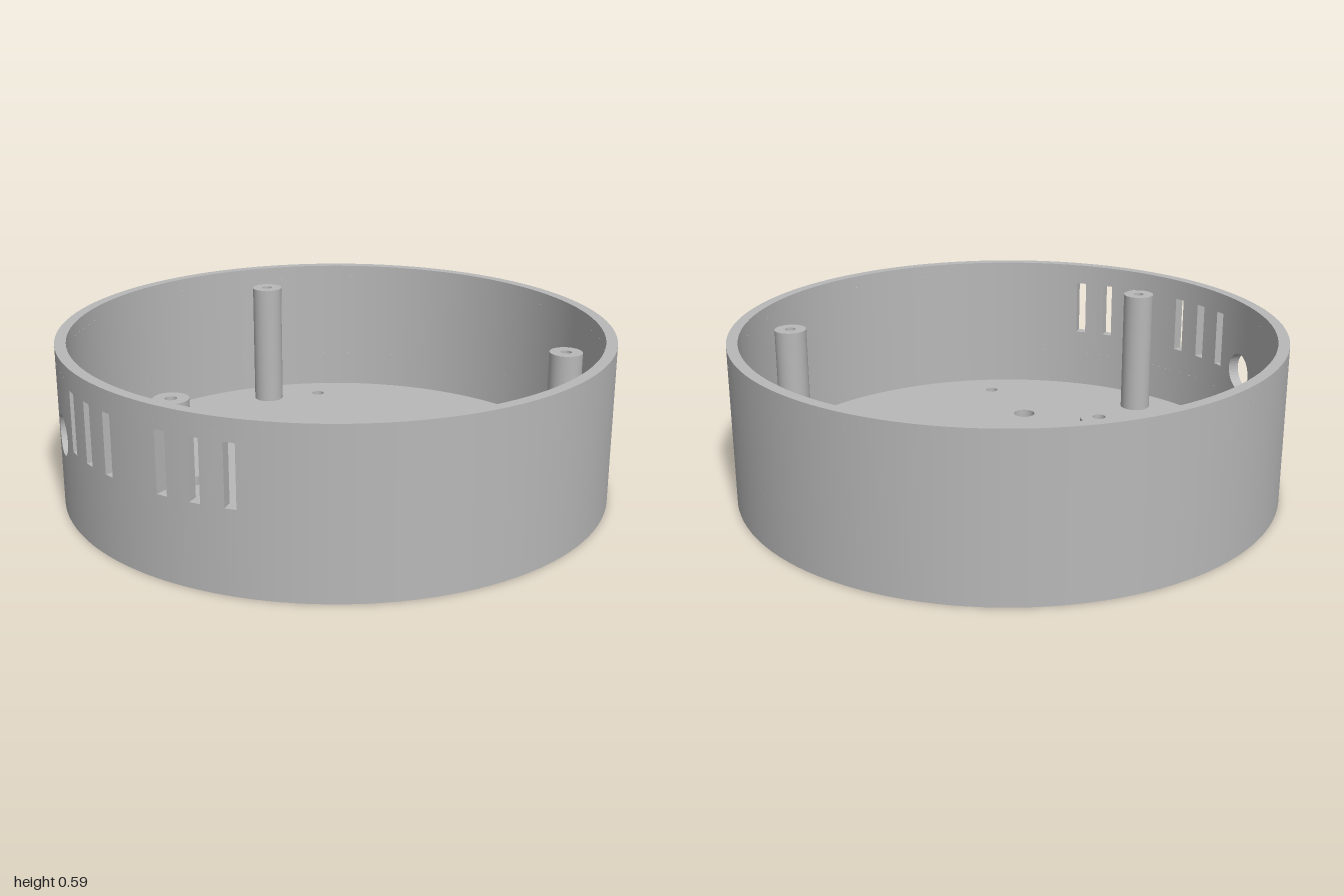
import * as THREE from 'three';

const R = 1, RI = 0.96, H = 0.588, FLOOR = 0.058;
const BAND0 = 0.2, BAND1 = 0.54; // perforated height range of the wall
const rad = THREE.MathUtils.degToRad;

export function createModel() {
  const model = new THREE.Group();
  const grey = new THREE.MeshStandardMaterial({ color: 0xb8b8b8 });
  grey.name = 'grey plastic';

  const add = (parent, name, geometry) => {
    const mesh = new THREE.Mesh(geometry, grey);
    mesh.name = name;
    parent.add(mesh);
    return mesh;
  };
  // One revolved face between two profile points, so profile corners stay sharp
  const ring = (r0, y0, r1, y1, segs = 120, start = 0, len = Math.PI * 2) =>
    new THREE.LatheGeometry([new THREE.Vector2(r0, y0), new THREE.Vector2(r1, y1)], segs, start, len);

  // Floor plate with mounting holes and cable holes
  const disc = new THREE.Shape().absarc(0, 0, 0.98, 0, Math.PI * 2);
  const drill = (x, z, r) => disc.holes.push(new THREE.Path().absarc(x, -z, r, 0, Math.PI * 2, true));
  for (const x of [-0.585, 0.585]) for (const z of [-0.585, 0.585]) drill(x, z, 0.0245);
  drill(-0.562, 0, 0.042);
  for (const x of [-0.294, 0.294]) drill(x, 0.452, 0.042);
  const plate = new THREE.ExtrudeGeometry(disc, { depth: FLOOR, bevelEnabled: false, curveSegments: 60 });
  add(model, 'floor', plate.rotateX(-Math.PI / 2));

  // Plain wall surfaces
  const wall = new THREE.Group();
  wall.name = 'wall';
  model.add(wall);
  add(wall, 'bottomEdge', ring(0.98, 0, R, 0));
  add(wall, 'topRim', ring(R, H, RI, H));
  add(wall, 'outerLowerBand', ring(R, 0, R, BAND0));
  add(wall, 'outerUpperBand', ring(R, BAND1, R, H));
  add(wall, 'innerLowerBand', ring(RI, BAND0, RI, FLOOR));
  add(wall, 'innerUpperBand', ring(RI, H, RI, BAND1));
  const plainArc = (from, to) => {
    const segs = Math.ceil((to - from) / 3);
    add(wall, 'outerPlainWall', ring(R, BAND0, R, BAND1, segs, rad(from), rad(to - from)));
    add(wall, 'innerPlainWall', ring(RI, BAND1, RI, BAND0, segs, rad(from), rad(to - from)));
  };
  plainArc(24.5, 324.5);
  plainArc(-3.5, 3.5);

  // Curved wall panel from angle a0 to a1 with one radial opening
  const bend = (p, r) => new THREE.Vector3(r * Math.sin(p.x), p.y, r * Math.cos(p.x));
  const panel = (name, a0, a1, centre, opening) => {
    const cut = r => opening.map(([s, y]) => new THREE.Vector2(rad(centre) + Math.asin(s / r), y));
    for (const r of [R, RI]) {
      const edge = [];
      for (let i = 0; i <= 6; i++) edge.push(new THREE.Vector2(rad(a0 + (a1 - a0) * i / 6), BAND0));
      for (let i = 6; i >= 0; i--) edge.push(new THREE.Vector2(rad(a0 + (a1 - a0) * i / 6), BAND1));
      const shape = new THREE.Shape(edge);
      shape.holes.push(new THREE.Path(cut(r)));
      const g = new THREE.ShapeGeometry(shape);
      const pos = g.attributes.position, nor = g.attributes.normal, sign = r === R ? 1 : -1;
      for (let i = 0; i < pos.count; i++) {
        const a = pos.getX(i);
        nor.setXYZ(i, sign * Math.sin(a), 0, sign * Math.cos(a));
        pos.setXYZ(i, r * Math.sin(a), pos.getY(i), r * Math.cos(a));
      }
      if (sign < 0) g.setIndex([...g.index.array].reverse());
      add(wall, name + (sign > 0 ? 'Outside' : 'Inside'), g);
    }
    // Walls of the opening
    const outer = cut(R).map(p => bend(p, R)), inner = cut(RI).map(p => bend(p, RI));
    const pts = [];
    outer.forEach((o, i) => {
      const j = (i + 1) % outer.length;
      pts.push(o, outer[j], inner[i], outer[j], inner[j], inner[i]);
    });
    const tunnel = new THREE.BufferGeometry().setFromPoints(pts);
    tunnel.computeVertexNormals();
    add(wall, name + 'Reveal', tunnel);
  };

  // Six ventilation slots
  const w = 0.0196;
  const slot = [[-w, 0.294], [w, 0.294], [w, 0.51], [-w, 0.51]];
  for (const a of [-21, -14, -7, 7, 14, 21]) panel('ventSlot', a - 3.5, a + 3.5, a, slot);

  // Round cable port
  const port = Array.from({ length: 40 }, (_, i) => {
    const t = i / 40 * Math.PI * 2;
    return [0.0735 * Math.cos(t), 0.308 + 0.0735 * Math.sin(t)];
  });
  panel('cablePort', -35.5, -24.5, -30, port);

  // Three screw posts with blind holes
  const PR = 0.0588, HR = 0.0196, PT = 0.54;
  for (const a of [0, 120, 240]) {
    const post = new THREE.Group();
    post.name = 'screwPost';
    post.position.set(0.824 * Math.sin(rad(a)), 0, 0.824 * Math.cos(rad(a)));
    add(post, 'postSide', ring(PR, FLOOR, PR, PT, 40));
    add(post, 'postTop', ring(PR, PT, HR, PT, 40));
    add(post, 'screwHole', ring(HR, PT, HR, FLOOR, 24));
    model.add(post);
  }
  return model;
}
